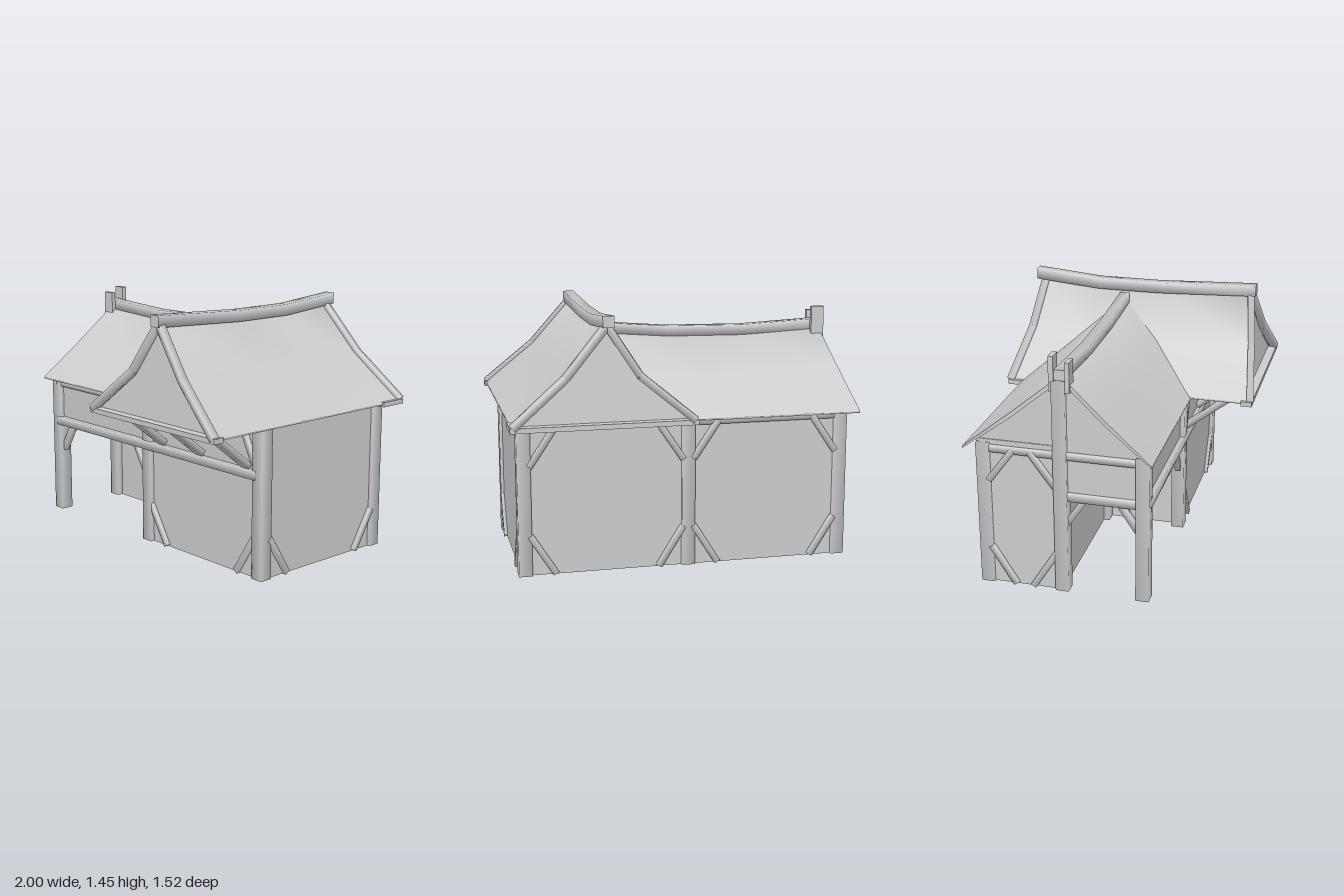
import * as THREE from 'three';
import { mergeVertices } from 'three/addons/utils/BufferGeometryUtils.js';

const grey = new THREE.MeshStandardMaterial({ color: 0xcccccc });
grey.name = 'plain grey';

export function createModel() {
  const model = new THREE.Group();
  model.name = 'timberBarn';

  const add = (name, geometry) => {
    const mesh = new THREE.Mesh(geometry, grey);
    mesh.name = name;
    model.add(mesh);
    return mesh;
  };

  // Sharp-edged box given by its extents
  const box = (name, x0, x1, y0, y1, z0, z1) => {
    const mesh = add(name, new THREE.BoxGeometry(x1 - x0, y1 - y0, z1 - z0));
    mesh.position.set((x0 + x1) / 2, (y0 + y1) / 2, (z0 + z1) / 2);
    return mesh;
  };

  // Softly shaded timber between two points
  const beam = (name, a, b, w = 0.04, h = w) => {
    const from = new THREE.Vector3(...a), to = new THREE.Vector3(...b);
    let geo = new THREE.BoxGeometry(w, h, from.distanceTo(to));
    geo.deleteAttribute('normal');
    geo.deleteAttribute('uv');
    geo = mergeVertices(geo);
    geo.computeVertexNormals();
    const mesh = add(name, geo);
    mesh.position.copy(from).add(to).multiplyScalar(0.5);
    mesh.lookAt(to);
    return mesh;
  };

  const post = (name, x, z, top, w = 0.076) => {
    const mesh = beam(name, [0, 0, 0], [0, 0, top], w);
    mesh.rotation.set(-Math.PI / 2, 0, 0);
    mesh.position.set(x, top / 2, z);
  };

  // Slab through rows of top points, thickened downwards, with end caps
  const slab = (name, rows, thickness, edgeThickness = thickness) => {
    const n = rows[0].length, ring = 2 * n, pos = [], idx = [];
    const ringOf = row => {
      const under = row.map(([x, y, z], j) =>
        [x, y - (j === 0 || j === n - 1 ? edgeThickness : thickness), z]);
      return [...row, ...under.reverse()];
    };
    rows.forEach(row => pos.push(...ringOf(row).flat()));
    for (let i = 0; i < rows.length - 1; i++) {
      for (let j = 0; j < ring; j++) {
        const a = i * ring + j, b = i * ring + (j + 1) % ring;
        idx.push(a, a + ring, b, b, a + ring, b + ring);
      }
    }
    [rows[0], rows[rows.length - 1]].forEach((row, end) => {
      const base = pos.length / 3;
      pos.push(...ringOf(row).flat());
      for (let j = 0; j < n - 1; j++) {
        const [t, u, v, w] = [j, j + 1, ring - 2 - j, ring - 1 - j].map(k => base + k);
        if (end === 0) idx.push(t, u, v, t, v, w);
        else idx.push(t, v, u, t, w, v);
      }
    });
    const geo = new THREE.BufferGeometry();
    geo.setAttribute('position', new THREE.Float32BufferAttribute(pos, 3));
    geo.setIndex(idx);
    geo.computeVertexNormals();
    return add(name, geo);
  };

  // Walls: closed cross wing, closed rear half of the hall, porch panels
  box('wingWalls', 0, 0.935, 0, 0.86, -0.6, 0.335);
  box('hallWalls', -0.925, 0.01, 0, 0.88, -0.6, -0.14);
  box('porchFrontPanel', -0.9, -0.01, 0.58, 0.86, 0.31, 0.33);
  box('porchSidePanel', -0.92, -0.9, 0.58, 0.86, -0.14, 0.32);

  // Posts
  for (const x of [-0.905, -0.01, 0.915]) {
    post('frontPost', x, 0.32, 0.86);
    post('backPost', x, -0.58, 0.86);
  }
  post('porchInnerPost', -0.035, -0.14, 0.86, 0.07);
  post('ridgePost', -0.908, -0.14, 1.26);
  box('ridgePostProng', -0.946, -0.87, 1.2, 1.4, -0.19, -0.162);
  box('ridgePostProng', -0.946, -0.87, 1.2, 1.37, -0.1, -0.075);

  // Horizontal rails
  beam('frontRail', [-0.9, 0.585, 0.33], [0.9, 0.585, 0.33], 0.06, 0.052);
  beam('frontPlate', [-0.9, 0.825, 0.33], [0.9, 0.825, 0.33], 0.04, 0.03);
  beam('backPlate', [-0.9, 0.83, -0.595], [0.9, 0.83, -0.595], 0.04);
  beam('leftPlate', [-0.92, 0.83, -0.58], [-0.92, 0.83, 0.32], 0.04);
  beam('porchSideRail', [-0.91, 0.585, -0.14], [-0.91, 0.585, 0.32], 0.05);

  // Diagonal braces at the feet and heads of the posts
  const braceX = (x, d, z, y0, y1, reach = 0.14) =>
    beam('brace', [x, y0, z], [x + d * reach, y1, z], 0.035);
  const braceZ = (x, z, d, y0, y1, reach = 0.14) =>
    beam('brace', [x, y0, z], [x, y1, z + d * reach], 0.035);
  for (const [x, d] of [[0.02, 1], [0.885, -1]]) {
    braceX(x, d, 0.338, 0.23, 0.005);
    braceX(x, d, 0.338, 0.64, 0.82, 0.09);
  }
  for (const [x, d] of [[-0.875, 1], [-0.04, -1], [0.02, 1], [0.885, -1]]) {
    braceX(x, d, -0.603, 0.23, 0.005);
    braceX(x, d, -0.603, 0.62, 0.83);
  }
  for (const [x, d] of [[-0.875, 1], [-0.045, -1]]) braceX(x, d, 0.32, 0.4, 0.57, 0.1);
  for (const [z, d] of [[0.29, -1], [-0.55, 1]]) braceZ(0.937, z, d, 0.23, 0.005);
  for (const [z, d] of [[-0.17, -1], [-0.55, 1]]) {
    braceZ(-0.927, z, d, 0.23, 0.005);
    braceZ(-0.927, z, d, 0.64, 0.83);
  }
  for (const [z, d] of [[0.29, -1], [-0.11, 1]]) braceZ(-0.908, z, d, 0.42, 0.57, 0.1);

  // Struts carrying the overhanging front gable
  for (const x of [0.12, 0.445, 0.815])
    beam('gableStrut', [x, 0.625, 0.34], [x, 0.86, 0.64], 0.058, 0.035);

  // Cross wing roof: x, y, and z reach at each end
  const wing = [
    [-0.02, 0.862, 0.745], [0.28, 1.11, 0.695], [0.455, 1.385, 0.655],
    [0.69, 1.11, 0.695], [0.985, 0.862, 0.745],
  ];
  const wingSag = [[-1, 0], [-0.43, 1], [0.12, 1], [1, 0]];
  slab('wingRoof', wingSag.map(([t, s]) => wing.map(([x, y, z], j) =>
    [x, y - s * [0, 0.015, 0.03, 0.015, 0][j], z * t])), 0.025, 0.012);

  // Main hall roof with a sagging ridge
  const hallRows = [[0, 1.29], [0.35, 1.262], [0.66, 1.262], [1, 1.3]];
  slab('hallRoof', hallRows.map(([t, ridge]) => {
    const at = (a, b) => a + (b - a) * t;
    const mid = (0.857 + ridge) / 2 - 0.005;
    return [
      [at(-1, 0.04), 0.857, 0.383], [at(-0.963, 0.26), mid, 0.125],
      [at(-0.925, 0.42), ridge, -0.13],
      [at(-0.963, 0.26), mid, -0.4], [at(-1, 0.04), 0.857, -0.672],
    ];
  }), 0.03, 0.012);

  // Ridge beams
  slab('wingRidgeBeam', [[-0.7, 1.445], [-0.3, 1.41], [0.08, 1.41], [0.68, 1.435]]
    .map(([z, y]) => [[0.422, y, z], [0.486, y, z]]), 0.065);
  slab('hallRidgeBeam', [[-0.94, 1.325], [-0.45, 1.3], [0, 1.306], [0.41, 1.338]]
    .map(([x, y]) => [[x, y, -0.1], [x, y, -0.16]]), 0.06);

  // Verge timbers along the wing gables
  for (const side of [1, -1]) {
    for (let j = 0; j < 4; j++) {
      const [a, b] = [wing[j], wing[j + 1]].map(([x, y, z]) => [x, y + 0.003, side * (z - 0.008)]);
      beam('vergeTimber', a, b, 0.04);
    }
  }

  // Gable tie beams
  box('frontTie', -0.035, 0.998, 0.84, 0.868, 0.685, 0.75);
  box('backTie', -0.035, 0.998, 0.84, 0.868, -0.75, -0.58);

  // Gable walls, the wing ones leaning inwards
  const gable = (name, points) => {
    const shape = new THREE.Shape(points.map(p => new THREE.Vector2(...p)));
    const geo = new THREE.ExtrudeGeometry(shape, { depth: 0.02, bevelEnabled: false });
    return add(name, geo.translate(0, 0, -0.01));
  };
  for (const side of [1, -1]) {
    const wall = gable('wingGable', wing.map(([x, y]) => [x, Math.max(0, y - 0.865)]));
    wall.position.set(0, 0.85, side * 0.69);
    wall.rotation.x = -side * 0.12;
  }
  const end = gable('hallGable', [[-0.36, 0.82], [0.62, 0.82], [0.62, 0.87], [0.13, 1.26], [-0.36, 0.85]]);
  end.rotation.y = Math.PI / 2;
  end.position.x = -0.91;

  return model;
}
